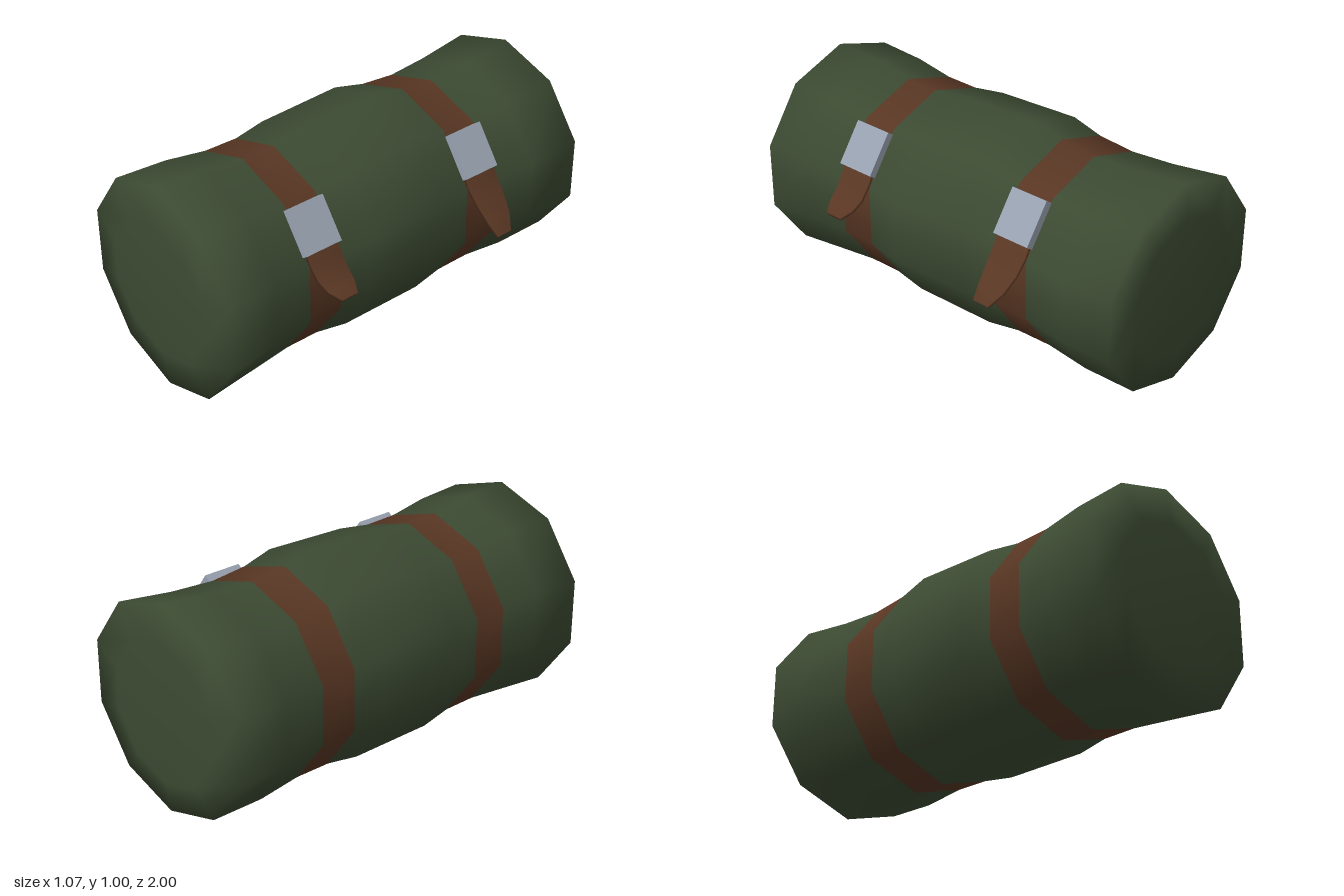
import * as THREE from 'three';

const SIDES = 10;
const CX = -0.066;

// Build an indexed surface from closed cross-section loops, with both ends capped.
// spanMaterial(i) gives the material index of the span between loop i and i + 1.
function loft(loops, endA, endB, spanMaterial = () => 0) {
  const n = loops[0].length;
  const pos = [...loops.flat(), endA, endB].flat();
  const a = loops.length * n, b = a + 1, last = (loops.length - 1) * n;
  const index = [];
  const geo = new THREE.BufferGeometry();
  const fill = (count, material, write) => {
    const start = index.length;
    for (let j = 0; j < count; j++) write(j, (j + 1) % n);
    geo.addGroup(start, index.length - start, material);
  };
  fill(n, 0, (j, k) => index.push(a, j, k));
  for (let i = 0; i < loops.length - 1; i++) {
    const p = i * n, q = p + n;
    fill(n, spanMaterial(i), (j, k) => index.push(p + j, q + j, q + k, p + j, q + k, p + k));
  }
  fill(n, 0, (j, k) => index.push(b, last + k, last + j));
  geo.setAttribute('position', new THREE.Float32BufferAttribute(pos, 3));
  geo.setIndex(index);
  geo.computeVertexNormals();
  return geo;
}

export function createModel() {
  const green = new THREE.MeshStandardMaterial({ color: 0x3c4a32 });
  green.name = 'green canvas';
  const brown = new THREE.MeshStandardMaterial({ color: 0x583623 });
  brown.name = 'brown leather';
  const steel = new THREE.MeshStandardMaterial({ color: 0x98a1b0 });
  steel.name = 'buckle steel';

  const group = new THREE.Group();
  group.name = 'bedroll';

  // Rolled body: z, half width, bottom and top of each ring, front to back
  const rings = [
    [0.99, 0.31, 0.175, 0.825],
    [0.967, 0.467, 0.0, 0.995],
    [0.73, 0.449, 0.025, 0.985],
    [0.535, 0.43, 0.045, 0.955],
    [0.373, 0.43, 0.045, 0.952],
    [0.22, 0.453, 0.02, 0.975],
    [-0.19, 0.453, 0.02, 0.995],
    [-0.343, 0.43, 0.045, 0.958],
    [-0.515, 0.43, 0.05, 0.94],
    [-0.72, 0.449, 0.03, 0.952],
    [-0.975, 0.467, 0.04, 0.985],
    [-0.993, 0.31, 0.18, 0.82],
  ];
  const loops = rings.map(([z, w, bottom, top]) =>
    Array.from({ length: SIDES }, (_, k) => {
      const t = Math.PI / 2 + (k * 2 * Math.PI) / SIDES;
      return [
        CX + (w / Math.cos(Math.PI / SIDES)) * Math.cos(t),
        (top + bottom) / 2 + ((top - bottom) / 2) * Math.sin(t),
        z,
      ];
    }));
  // The two narrow spans are the leather straps
  const body = new THREE.Mesh(
    loft(loops, [CX, 0.5, 1.0], [CX, 0.5, -1.0], (i) => (i === 3 || i === 7 ? 1 : 0)),
    [green, brown]);
  body.name = 'rolledBodyWithStraps';
  group.add(body);

  // Buckles lie on the upper left facet of each strap
  for (const [name, z, width] of [['frontBuckle', 0.457, 0.183], ['rearBuckle', -0.429, 0.18]]) {
    const buckle = new THREE.Mesh(new THREE.BoxGeometry(0.04, 0.205, width), steel);
    buckle.name = name;
    buckle.position.set(0.288, 0.772, z);
    buckle.rotation.z = Math.PI / 5;
    group.add(buckle);
  }

  // Loose strap ends: each station is x, y, z centre, half width
  const tongues = {
    frontStrapEnd: [
      [0.315, 0.735, 0.455, 0.08],
      [0.365, 0.65, 0.455, 0.08],
      [0.41, 0.592, 0.453, 0.077],
      [0.46, 0.56, 0.451, 0.068],
      [0.512, 0.535, 0.448, 0.04],
    ],
    rearStrapEnd: [
      [0.315, 0.735, -0.43, 0.083],
      [0.365, 0.645, -0.43, 0.083],
      [0.415, 0.583, -0.431, 0.078],
      [0.475, 0.52, -0.427, 0.064],
      [0.527, 0.467, -0.415, 0.038],
    ],
  };
  for (const [name, path] of Object.entries(tongues)) {
    const sections = path.map(([x, y, z, w], i) => {
      const p = path[Math.max(i - 1, 0)], q = path[Math.min(i + 1, path.length - 1)];
      const len = Math.hypot(q[0] - p[0], q[1] - p[1]);
      const nx = (-(q[1] - p[1]) / len) * 0.008, ny = ((q[0] - p[0]) / len) * 0.008;
      return [[1, 1], [1, -1], [-1, -1], [-1, 1]].map(([s, e]) =>
        [x + nx * s, y + ny * s, z + w * e]);
    });
    const tongue = new THREE.Mesh(
      loft(sections, path[0].slice(0, 3), path[path.length - 1].slice(0, 3)), [brown]);
    tongue.name = name;
    group.add(tongue);
  }

  return group;
}
